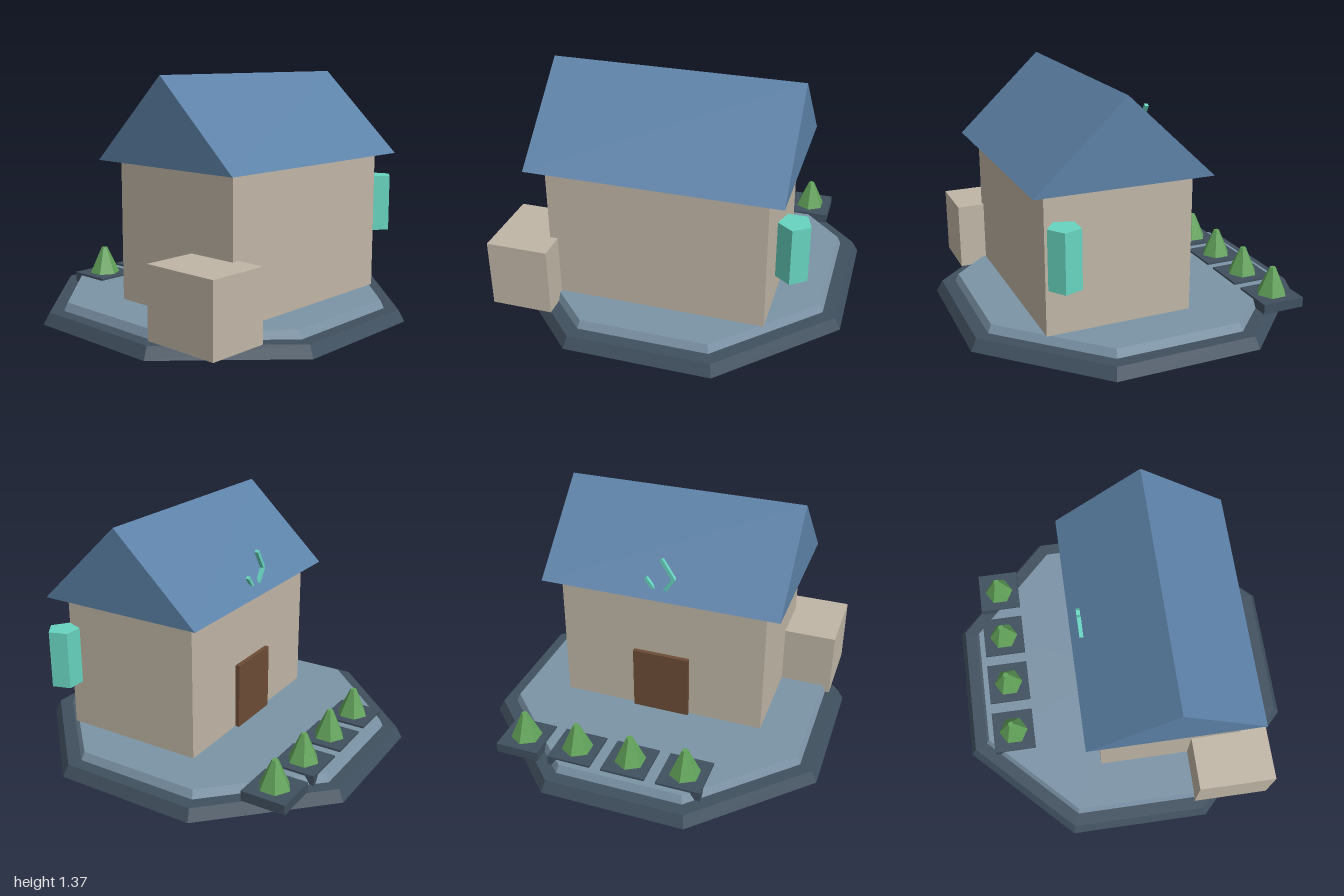
import * as THREE from 'three';

const material = (name, color) => {
  const m = new THREE.MeshStandardMaterial({ color, flatShading: true });
  m.name = name;
  return m;
};

export function createModel() {
  const model = new THREE.Group();
  model.name = 'house';

  const slate = material('dark slate', 0x40505f);
  const paving = material('paving blue grey', 0x7c94a7);
  const plaster = material('plaster', 0xc0b6a6);
  const roofBlue = material('roof blue', 0x5d82a8);
  const teal = material('teal', 0x68d4c0);
  const leaf = material('leaf green', 0x62a35a);
  const wood = material('door brown', 0x6c4c36);

  const add = (name, geometry, mat, x = 0, y = 0, z = 0, parent = model) => {
    const mesh = new THREE.Mesh(geometry, mat);
    mesh.name = name;
    mesh.position.set(x, y, z);
    parent.add(mesh);
    return mesh;
  };

  // Box given by its low and high corners
  const block = (name, mat, [x0, y0, z0], [x1, y1, z1], parent) =>
    add(name, new THREE.BoxGeometry(x1 - x0, y1 - y0, z1 - z0), mat,
      (x0 + x1) / 2, (y0 + y1) / 2, (z0 + z1) / 2, parent);

  // Octagonal tier, sized by the distance from its centre to its flats
  const tier = (name, mat, top, bottom, y0, y1) => {
    const k = 1 / Math.cos(Math.PI / 8);
    const g = new THREE.CylinderGeometry(top * k, bottom * k, y1 - y0, 8);
    g.rotateY(Math.PI / 8);
    add(name, g, mat, 0, (y0 + y1) / 2, 0);
  };
  tier('baseTier', slate, 0.967, 1, 0, 0.065);
  tier('pavedTier', paving, 0.873, 0.893, 0.065, 0.11);

  // House body, side annex and back door
  block('walls', plaster, [-0.612, 0.11, -0.19], [0.612, 0.9, 0.645]);
  block('annex', plaster, [-0.918, 0.067, 0.355], [-0.567, 0.46, 0.805]);
  block('door', wood, [-0.17, 0.11, -0.215], [0.17, 0.5, -0.185]);

  // Gabled roof with its ridge along x
  const gable = new THREE.Shape([
    new THREE.Vector2(-0.725, 0.9),
    new THREE.Vector2(0.272, 0.9),
    new THREE.Vector2(-0.226, 1.37),
  ]);
  const roof = new THREE.ExtrudeGeometry(gable, { depth: 1.404, bevelEnabled: false });
  roof.rotateY(Math.PI / 2);
  add('roof', roof, roofBlue, -0.702, 0, 0);

  // Five-sided lantern beside the house
  add('lantern', new THREE.CylinderGeometry(0.09, 0.09, 0.326, 5), teal, 0.738, 0.592, 0.582);

  // Slanted bars rising through the back slope of the roof
  const sign = new THREE.Group();
  sign.name = 'roofOrnament';
  model.add(sign);
  const bar = (x0, y0, x1, y1) => {
    const g = new THREE.BoxGeometry(0.02, Math.hypot(x1 - x0, y1 - y0), 0.022);
    add('ornamentBar', g, teal, (x0 + x1) / 2, (y0 + y1) / 2, -0.213, sign)
      .rotation.z = -Math.atan2(x1 - x0, y1 - y0);
  };
  bar(-0.085, 1.02, -0.012, 1.135);
  bar(-0.085, 1.025, -0.01, 0.91);
  bar(0.01, 0.91, 0.082, 1.005);

  // Row of potted trees along the back edge
  for (let i = 0; i < 4; i++) {
    const x = -0.325 + i * 0.3217;
    const tree = new THREE.Group();
    tree.name = 'pottedTree';
    tree.position.set(x, 0, -0.712);
    model.add(tree);
    block('planter', slate, [-0.128, 0.065, -0.128], [0.128, 0.122, 0.128], tree);
    add('foliage', new THREE.CylinderGeometry(0.018, 0.09, 0.16, 6), leaf, 0, 0.201, 0, tree);
  }

  return model;
}
